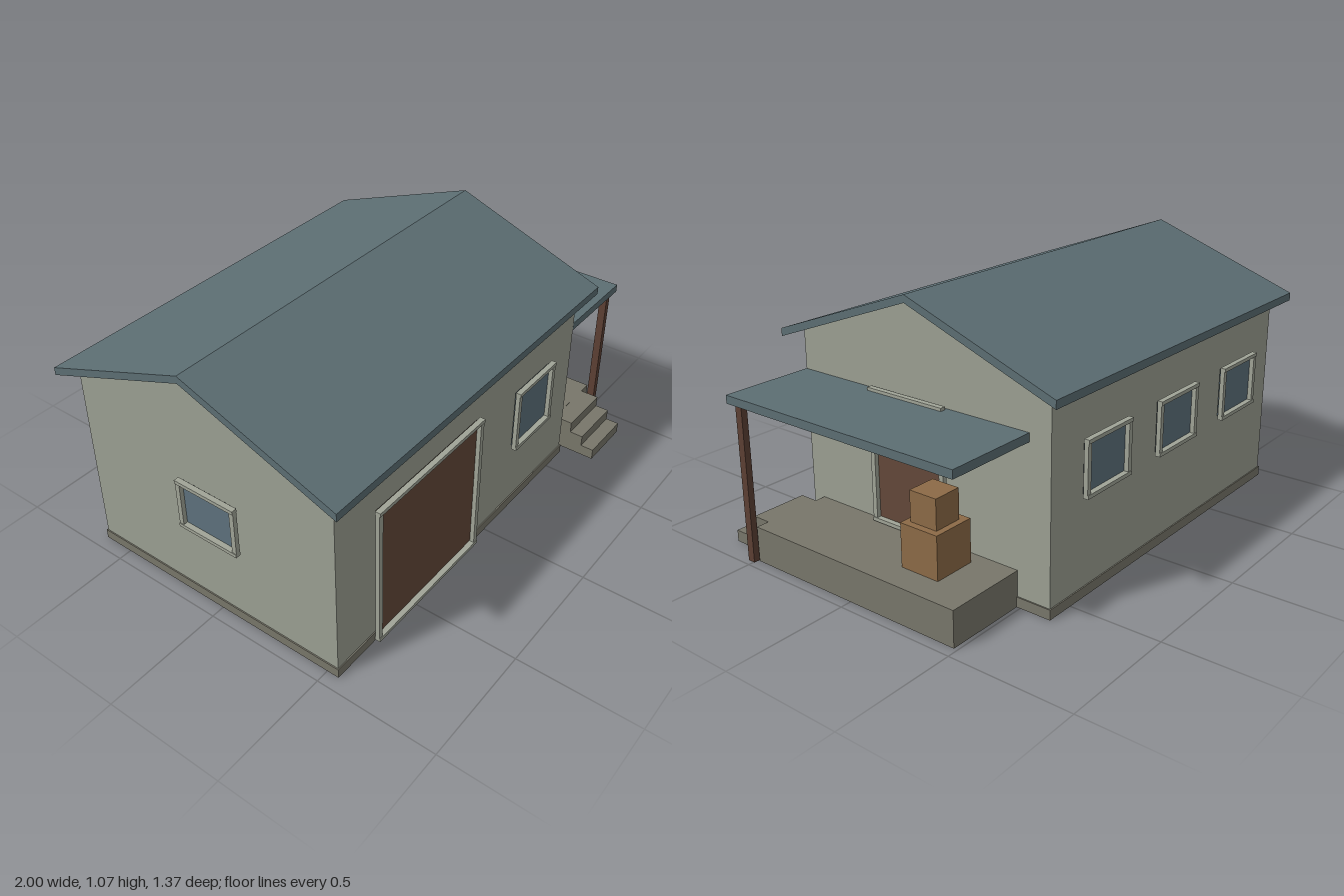
import * as THREE from 'three';

const mat = (name, color) => {
  const m = new THREE.MeshStandardMaterial({ color });
  m.name = name;
  return m;
};

export function createModel() {
  const model = new THREE.Group();
  model.name = 'storehouse';
  const wallMat = mat('wall plaster', 0x9b9f92);
  const trimMat = mat('trim', 0xa0a497);
  const roofMat = mat('roof metal', 0x5c6e73);
  const stoneMat = mat('concrete', 0x78766a);
  const doorMat = mat('door wood', 0x634839);
  const postMat = mat('post wood', 0x5c4034);
  const glassMat = mat('window glass', 0x5d717c);
  const crateMat = mat('crate wood', 0x8c6a46);

  // Box given by its low and high bounds on each axis
  const box = (name, material, [x0, x1], [y0, y1], [z0, z1], parent = model) => {
    const mesh = new THREE.Mesh(new THREE.BoxGeometry(x1 - x0, y1 - y0, z1 - z0), material);
    mesh.position.set((x0 + x1) / 2, (y0 + y1) / 2, (z0 + z1) / 2);
    mesh.name = name;
    parent.add(mesh);
    return mesh;
  };

  // Side profile of [z, y] points, swept between two x values
  const sweep = (name, material, points, x0, x1) => {
    const shape = new THREE.Shape(points.map(([z, y]) => new THREE.Vector2(z, y)));
    const geometry = new THREE.ExtrudeGeometry(shape, { depth: x1 - x0, bevelEnabled: false });
    const mesh = new THREE.Mesh(geometry, material);
    mesh.rotation.y = -Math.PI / 2;
    mesh.position.x = x1;
    mesh.name = name;
    model.add(mesh);
  };

  // House body
  box('foundation', stoneMat, [-0.945, 0.62], [0, 0.04], [-0.63, 0.55]);
  sweep('walls', wallMat,
    [[0.545, 0.02], [0.545, 0.823], [-0.04, 1.04], [-0.625, 0.823], [-0.625, 0.02]], -0.94, 0.615);
  sweep('roof', roofMat,
    [[0.605, 0.802], [0.605, 0.834], [-0.04, 1.07], [-0.685, 0.834], [-0.685, 0.802], [-0.04, 1.04]],
    -1, 0.675);

  // Framed opening lying in its own xy plane, turned to face outward from a wall
  const opening = (name, fill, w, h, position, turn) => {
    const g = new THREE.Group();
    g.name = name;
    const x = w / 2, y = h / 2, t = 0.02;
    box('panel', fill, [-x + 0.012, x - 0.012], [-y + 0.01, y - 0.01], [0.005, 0.013], g);
    for (const s of [-1, 1]) {
      const jamb = s < 0 ? [-x, -x + t] : [x - t, x];
      const rail = s < 0 ? [-y, -y + 0.015] : [y - 0.015, y];
      box('frameSide', trimMat, jamb, [-y + 0.015, y - 0.015], [0.014, 0.032], g);
      box('frameRail', trimMat, [-x, x], rail, [0.013, 0.035], g);
    }
    g.position.set(...position);
    g.rotation.y = turn;
    model.add(g);
  };

  opening('garageDoor', doorMat, 0.64, 0.615, [-0.423, 0.3275, 0.545], 0);
  opening('frontWindow', glassMat, 0.275, 0.275, [0.292, 0.457, 0.545], 0);
  opening('sideDoor', doorMat, 0.357, 0.535, [0.615, 0.4145, 0.003], Math.PI / 2);
  opening('leftGableWindow', glassMat, 0.275, 0.215, [-0.94, 0.458, -0.01], -Math.PI / 2);
  for (const x of [0.31, -0.16, -0.64]) {
    opening('backWindow', glassMat, 0.275, 0.22, [x, 0.51, -0.625], Math.PI);
  }

  // Loading porch with steps, one post and a flat canopy
  box('porchPlatform', stoneMat, [0.615, 0.955], [0, 0.143], [-0.485, 0.49]);
  [0.685, 0.628, 0.57].forEach((z, i) =>
    box('step', stoneMat, [0.66, 0.9], [0, 0.0475 * (i + 1)], [0.49, z]));
  box('porchPost', postMat, [0.95, 0.976], [0, 0.64], [0.496, 0.528]);
  box('canopy', roofMat, [0.616, 1], [0.637, 0.67], [-0.535, 0.545]);

  // Stacked crates
  box('largeCrate', crateMat, [0.67, 0.845], [0.143, 0.315], [-0.32, -0.152]);
  box('smallCrate', crateMat, [0.7, 0.818], [0.315, 0.435], [-0.295, -0.175]);

  return model;
}
